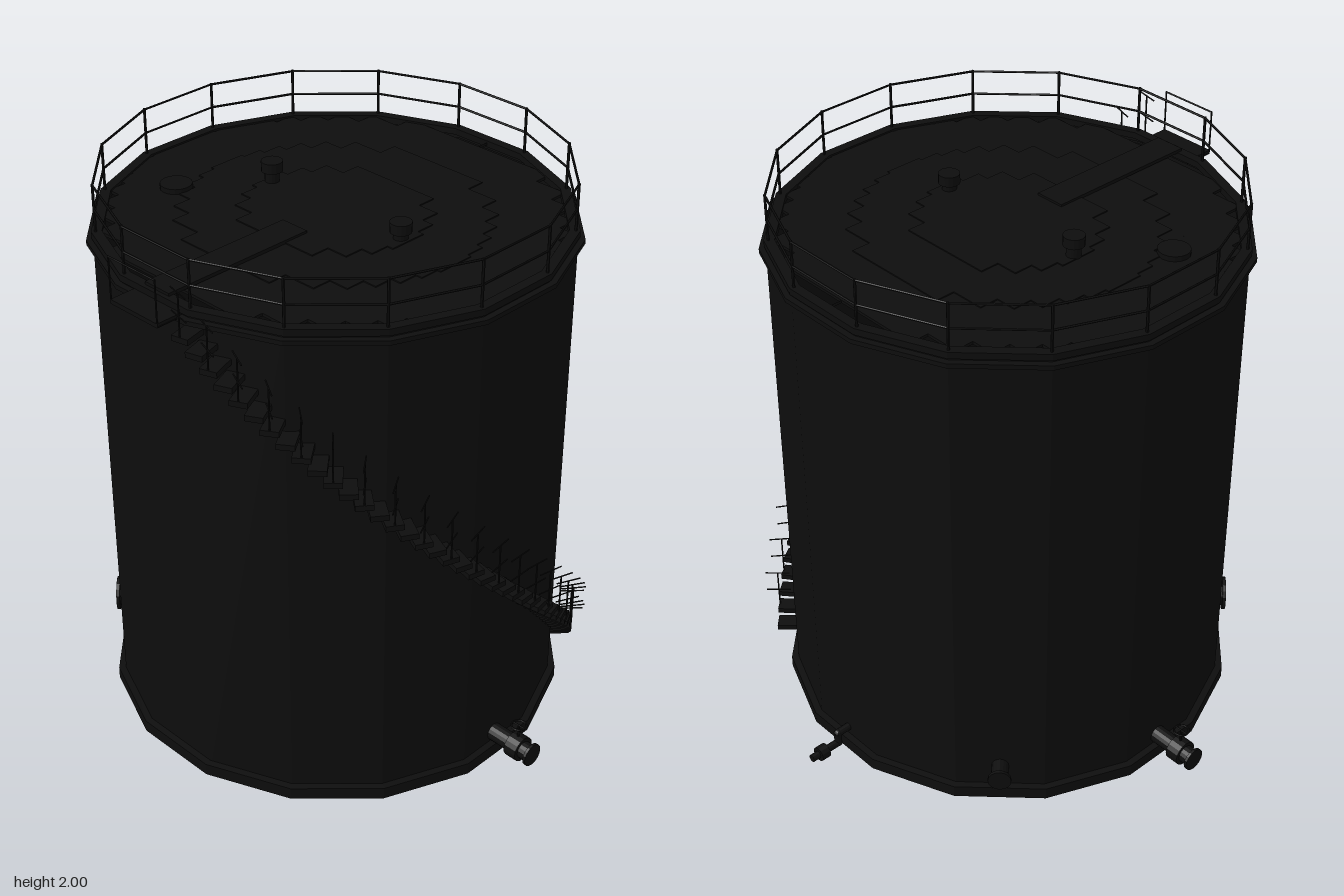
import * as THREE from 'three';

const SIDES = 16, STEP = Math.PI / 8, HALF = STEP / 2;
const C = Math.cos(HALF); // apothem to corner radius

export function createModel() {
  const root = new THREE.Group();
  root.name = 'storageTank';
  const tank = new THREE.Group();
  tank.name = 'tank';
  tank.position.z = 0.035;
  root.add(tank);

  const steel = new THREE.MeshStandardMaterial({ color: 0x0d0d0d, flatShading: true, side: THREE.DoubleSide });
  steel.name = 'blackSteel';

  const add = (name, geo, x = 0, y = 0, z = 0, parent = tank) => {
    const m = new THREE.Mesh(geo, steel);
    m.name = name;
    m.position.set(x, y, z);
    parent.add(m);
    return m;
  };
  const box = (name, w, h, d, x, y, z, parent) => add(name, new THREE.BoxGeometry(w, h, d), x, y, z, parent);
  const cyl = (name, r, h, x, y, z, parent, n = 16) => add(name, new THREE.CylinderGeometry(r, r, h, n), x, y, z, parent);
  // Round bar between two points
  const bar = (name, a, b, r, parent = tank, n = 6) => {
    const m = cyl(name, r, a.distanceTo(b), 0, 0, 0, parent, n);
    m.position.copy(a).lerp(b, 0.5);
    m.quaternion.setFromUnitVectors(new THREE.Vector3(0, 1, 0), b.clone().sub(a).normalize());
    return m;
  };
  const V = (x, y, z) => new THREE.Vector3(x, y, z);
  const polar = (r, a, y) => V(r * Math.sin(a), y, r * Math.cos(a));
  // Sixteen-sided ring from apothems and heights
  const ring = (name, inner, outer, y0, y1) => {
    const p = [[inner, y0], [outer, y0], [outer, y1], [inner, y1], [inner, y0]].map(([r, y]) => new THREE.Vector2(r / C, y));
    add(name, new THREE.LatheGeometry(p, SIDES)).rotation.y = HALF;
  };

  // Shell, base ring and top curb
  add('shell', new THREE.CylinderGeometry(0.775 / C, 0.775 / C, 1.83, SIDES, 1, true), 0, 0.915, 0).rotation.y = HALF;
  ring('baseRing', 0.75, 0.8, 0, 0.045);
  ring('windGirder', 0.77, 0.797, 1.79, 1.806);
  ring('topCurb', 0.745, 0.78, 1.812, 1.835);

  // Floor and roof decks laid from parallel plate strips
  const deck = (name, radius, y, h) => {
    const pitch = 0.07;
    for (let i = 0; i < Math.floor(radius / pitch); i++) {
      const half = Math.sqrt(radius ** 2 - ((i + 1) * pitch) ** 2);
      for (const s of [-1, 1]) box(name, half * 2, h, pitch, 0, y, s * (i + 0.5) * pitch);
    }
  };
  deck('floorPlate', 0.77, 0.012, 0.012);
  deck('roofPlate', 0.77, 1.824, 0.01);
  deck('roofMiddlePlate', 0.53, 1.828, 0.01);
  deck('roofCentrePlate', 0.33, 1.832, 0.01);

  // Roof guardrail
  for (let i = 0; i < SIDES; i++) {
    const a = HALF + i * STEP, r = 0.78;
    bar('guardPost', polar(r, a, 1.83), polar(r, a, 2), 0.005);
    for (const y of [1.91, 1.996]) bar('guardRail', polar(r, a, y), polar(r, a + STEP, y), 0.004);
  }

  // Roof vents, hatch and walkway
  for (const [x, top] of [[-0.3, 1.91], [0.29, 1.895]]) {
    cyl('ventNeck', 0.025, top - 1.83, x, (top + 1.83) / 2, 0);
    cyl('ventCap', 0.037, 0.035, x, top - 0.0175, 0);
  }
  cyl('roofHatch', 0.055, 0.02, -0.5, 1.837, 0.25);
  box('walkway', 0.11, 0.012, 0.58, 0, 1.839, 0.475);

  // Stair landing with its rail
  box('landing', 0.215, 0.015, 0.115, 0.018, 1.805, 0.817);
  for (const x of [-0.088, 0.124]) {
    bar('landingPost', V(x, 1.8, 0.872), V(x, 1.96, 0.872), 0.003);
    bar('landingSideRail', V(x, 1.8, 0.872), V(x, 1.8, 0.78), 0.003);
  }
  bar('landingRail', V(-0.088, 1.958, 0.872), V(0.124, 1.958, 0.872), 0.003);

  // Stair winding down the left side
  const COUNT = 40, A0 = 0.22, A1 = 2.38;
  for (let i = 0; i < COUNT; i++) {
    const t = i / (COUNT - 1), a = A0 + t * (A1 - A0), y = 1.77 - t * 1.68;
    const tread = box('stairTread', 0.09, 0.02, 0.06, 0, 0, 0);
    tread.position.copy(polar(0.82, a, y));
    tread.rotation.y = a - Math.PI / 2;
    if (i % 2) continue;
    const foot = polar(0.862, a, y);
    bar('stairPost', foot, foot.clone().setY(y + 0.16), 0.003);
    // Short level handrail pieces
    const dir = V(Math.cos(a), 0, Math.sin(a)).multiplyScalar(0.045);
    for (const h of [0.08, 0.16]) {
      const mid = foot.clone().setY(y + h);
      bar('stairHandrail', mid.clone().sub(dir), mid.clone().add(dir), 0.0025);
    }
  }

  // Valved side pipes
  for (const s of [-1, 1]) {
    const g = new THREE.Group();
    g.name = s > 0 ? 'leftPipe' : 'rightPipe';
    tank.add(g);
    const along = (name, x0, x1, r) => bar(name, V(s * x0, 0.078, 0), V(s * x1, 0.078, 0), r, g, 16);
    along('pipe', 0.76, 0.948, 0.032);
    along('valveBody', 0.86, 0.91, 0.046);
    along('endFlange', 0.942, 0.952, 0.042);
    bar('valveStem', V(s * 0.885, 0.1, 0), V(s * 0.885, 0.174, 0), 0.004, g);
    const wheel = add('handwheel', new THREE.TorusGeometry(0.026, 0.004, 6, 16), s * 0.885, 0.173, 0, g);
    wheel.rotation.x = Math.PI / 2;
    bar('wheelSpoke', V(s * 0.885 - 0.026, 0.173, 0), V(s * 0.885 + 0.026, 0.173, 0), 0.003, g);
  }

  // Stepped drain at the back
  const drain = [V(0, 0.075, -0.76), V(0, 0.075, -0.825), V(0, 0.03, -0.825), V(0, 0.03, -0.945)];
  for (let i = 0; i < 3; i++) bar('drainPipe', drain[i], drain[i + 1], 0.014, tank, 12);
  for (const p of drain.slice(1, 3)) add('drainElbow', new THREE.SphereGeometry(0.015, 10, 8), p.x, p.y, p.z);
  bar('drainValve', V(0, 0.03, -0.88), V(0, 0.03, -0.915), 0.027, tank, 12);

  // Rear corner nozzle and front corner manhole
  const nozzle = (name, a, y, r, reach) => {
    bar(name, polar(0.76, a, y), polar(reach, a, y), r, tank, 16);
    bar(name + 'Flange', polar(reach - 0.012, a, y), polar(reach, a, y), r * 1.35, tank, 16);
  };
  nozzle('rearNozzle', Math.PI * 1.25, 0.13, 0.03, 0.85);
  nozzle('manhole', Math.PI * 1.75, 0.27, 0.045, 0.805);

  return root;
}
